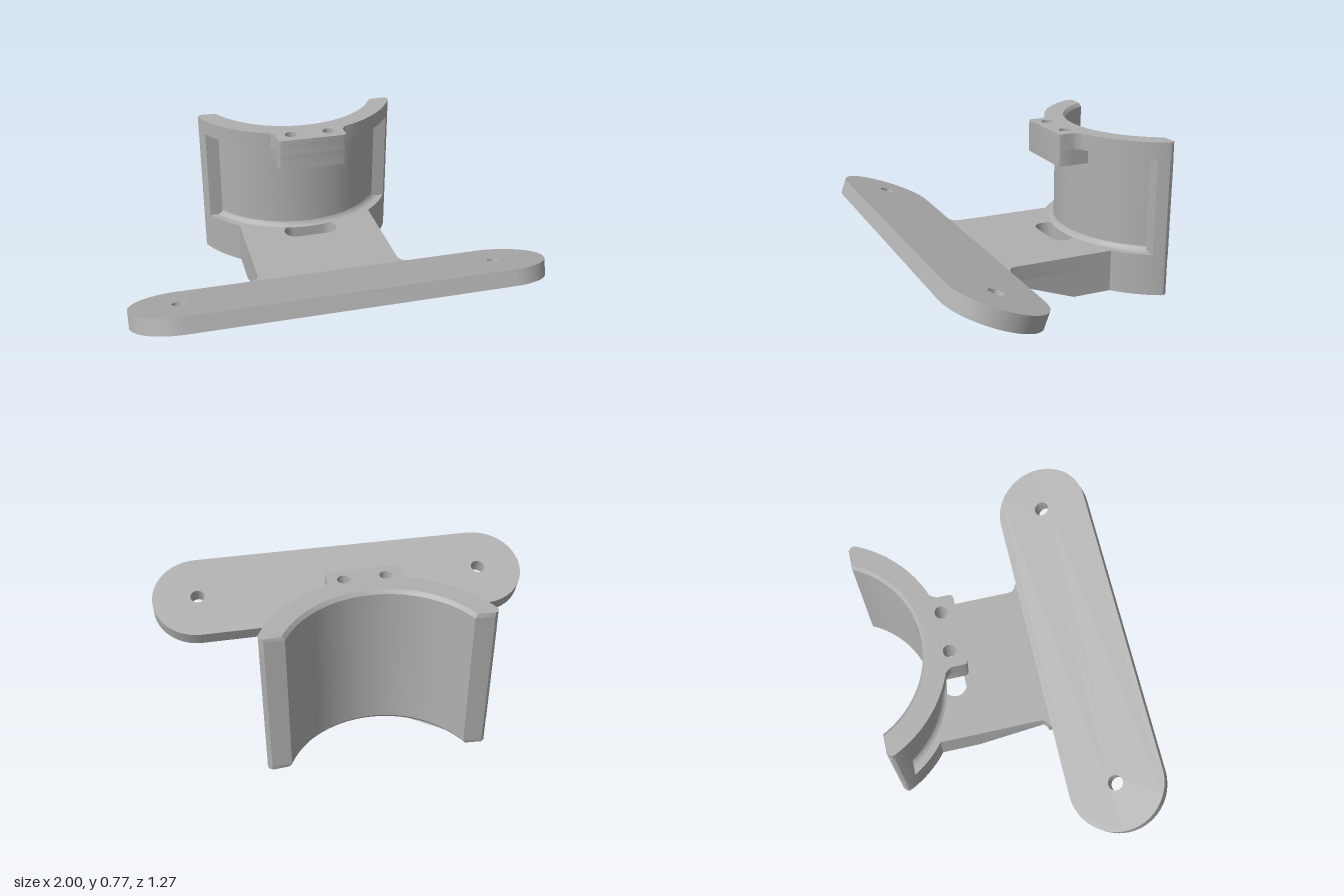
import * as THREE from 'three';
import { toCreasedNormals } from 'three/addons/utils/BufferGeometryUtils.js';

const AXIS_Z = -0.846;              // axis of the cradle arc
const END_Z = -0.635;               // flat rear ends of the cradle
const R_IN = 0.461, R_WALL = 0.516, R_OUT = 0.573;
const NECK = 0.36;                  // half width of the neck

// Plan shapes use (x, -z) so that extruding runs up the y axis.
function arc(r, a0, a1, n) {
  const pts = [];
  for (let i = 0; i <= n; i++) {
    const a = a0 + (a1 - a0) * i / n;
    const w = -AXIS_Z - r * Math.cos(a);
    const t = Math.max(0, (w - 0.61) / 0.025);   // rounds the outer tips
    const lim = 0.52 - 0.02 * t * t;
    pts.push([THREE.MathUtils.clamp(r * Math.sin(a), -lim, lim), w]);
  }
  return pts;
}

const toShape = (pts) => new THREE.Shape(pts.map(([x, w]) => new THREE.Vector2(x, w)));
const mirrored = (half) => [...half, ...half.map(([x, w]) => [-x, w]).reverse()];

// Ring segment; "mid" replaces the middle of its outer edge.
function cradleShape(rOut, mid = [], halfWidth = 0) {
  const end = (r) => Math.acos((END_Z - AXIS_Z) / r);
  const a = end(rOut), ai = end(R_IN), b = Math.asin(halfWidth / rOut);
  const outer = mid.length
    ? [...arc(rOut, -a, -b, 40), ...mid, ...arc(rOut, b, a, 40)]
    : arc(rOut, -a, a, 80);
  return toShape([...outer, ...arc(R_IN, ai, -ai, 72)]);
}

function addHole(shape, x, w, r) {
  shape.holes.push(new THREE.Path().absarc(x, w, r, 0, Math.PI * 2, true));
}

function slab(shape, y0, y1) {
  return new THREE.ExtrudeGeometry(shape, { depth: y1 - y0, bevelEnabled: false, curveSegments: 24 })
    .rotateX(-Math.PI / 2).translate(0, y0, 0);
}

// Widens the inner radius at one height into a chamfer.
function chamfer(geo, y) {
  const p = geo.attributes.position;
  for (let i = 0; i < p.count; i++) {
    const x = p.getX(i), z = p.getZ(i) - AXIS_Z;
    if (Math.abs(p.getY(i) - y) < 0.001 && Math.abs(Math.hypot(x, z) - R_IN) < 0.002) {
      p.setX(i, x * 1.03);
      p.setZ(i, AXIS_Z + z * 1.03);
    }
  }
  return geo;
}

export function createModel() {
  const group = new THREE.Group();
  const grey = new THREE.MeshStandardMaterial({ color: 0xb0b0b0 });
  grey.name = 'grey plastic';

  function add(name, geo) {
    const mesh = new THREE.Mesh(toCreasedNormals(geo, 0.45), grey);
    mesh.name = name;
    group.add(mesh);
    return mesh;
  }

  // Tilted mounting plate with rounded ends and two screw holes
  const plate = new THREE.Shape();
  plate.absarc(0.761, 0, 0.239, -Math.PI / 2, Math.PI / 2, false);
  plate.absarc(-0.761, 0, 0.239, Math.PI / 2, Math.PI * 1.5, false);
  for (const s of [-1, 1]) addHole(plate, s * 0.765, 0, 0.037);
  const plateMesh = add('mountingPlate', slab(plate, -0.04, 0.04));
  plateMesh.position.set(0, 0.2575, 0.4);
  plateMesh.rotation.x = -THREE.MathUtils.degToRad(20);

  // Cradle foot, notched in the middle by the slot
  const notch = mirrored([[-0.137, 0.295], [-0.125, 0.311], [-0.1, 0.327], [-0.08, 0.33]]);
  const foot = cradleShape(R_OUT, notch, 0.14);
  add('cradleFootRim', chamfer(slab(foot, 0, 0.02), 0));
  add('cradleFoot', slab(foot, 0.02, 0.135));

  // Deck joining cradle and plate, with a slot below the clamp block
  const deck = cradleShape(R_OUT, mirrored([
    [-NECK, 0.38], [-NECK, -0.11], [-0.365, -0.132], [-0.378, -0.148], [-0.4, -0.155], [-0.4, -0.172],
  ]), NECK);
  const slot = new THREE.Path();
  slot.absarc(0.08, 0.27, 0.06, -Math.PI / 2, Math.PI / 2, false);
  slot.absarc(-0.08, 0.27, 0.06, Math.PI / 2, Math.PI * 1.5, false);
  deck.holes.push(slot);
  add('deck', slab(deck, 0.135, 0.21));

  // Sloping side walls under the deck
  for (const s of [-1, 1]) {
    const web = toShape([[0.41, 0], [0.2, 0], [-0.176, 0.135], [0.41, 0.135]]);
    const geo = new THREE.ExtrudeGeometry(web, { depth: 0.035, bevelEnabled: false })
      .rotateY(Math.PI / 2).translate(s > 0 ? 0.325 : -NECK, 0, 0);
    add(s > 0 ? 'leftNeckWall' : 'rightNeckWall', geo);
  }

  // Thin curved wall, its foot fillet and the upright end ribs
  add('cradleWall', slab(cradleShape(R_WALL), 0.21, 0.69));
  const cove = [[0.541, 0.209], [0.529, 0.214], [0.52, 0.223], [0.515, 0.236]]
    .map(([r, y]) => new THREE.Vector2(r, y));
  add('wallFillet', new THREE.LatheGeometry(cove, 60, -1.03, 2.06).translate(0, 0, AXIS_Z));
  for (const s of [-1, 1]) {
    const rib = toShape([
      [0.44, 0.635], [0.5, 0.635], [0.515, 0.626], [0.52, 0.607], [0.508, 0.58], [0.494, 0.555], [0.415, 0.555],
    ].map(([x, w]) => [s * x, w]));
    add(s > 0 ? 'leftEndRib' : 'rightEndRib', slab(rib, 0.21, 0.69));
  }

  // Top flange and clamp block with two vertical screw holes
  const front = mirrored([[-0.175, 0.275], [-0.175, 0.218], [-0.17, 0.205], [-0.157, 0.2]]);
  const flange = cradleShape(R_OUT, [[-0.182, 0.291], ...front, [0.182, 0.291]], 0.195);
  const b = Math.asin(0.175 / R_WALL);
  const block = toShape([...front, ...arc(R_WALL - 0.002, b, -b, 16)]);
  for (const shape of [flange, block]) {
    for (const s of [-1, 1]) addHole(shape, s * 0.097, 0.27, 0.03);
  }
  add('topFlange', slab(flange, 0.69, 0.752));
  add('topFlangeRim', chamfer(slab(flange, 0.752, 0.77), 0.77));
  add('clampBlock', slab(block, 0.61, 0.69));

  return group;
}
